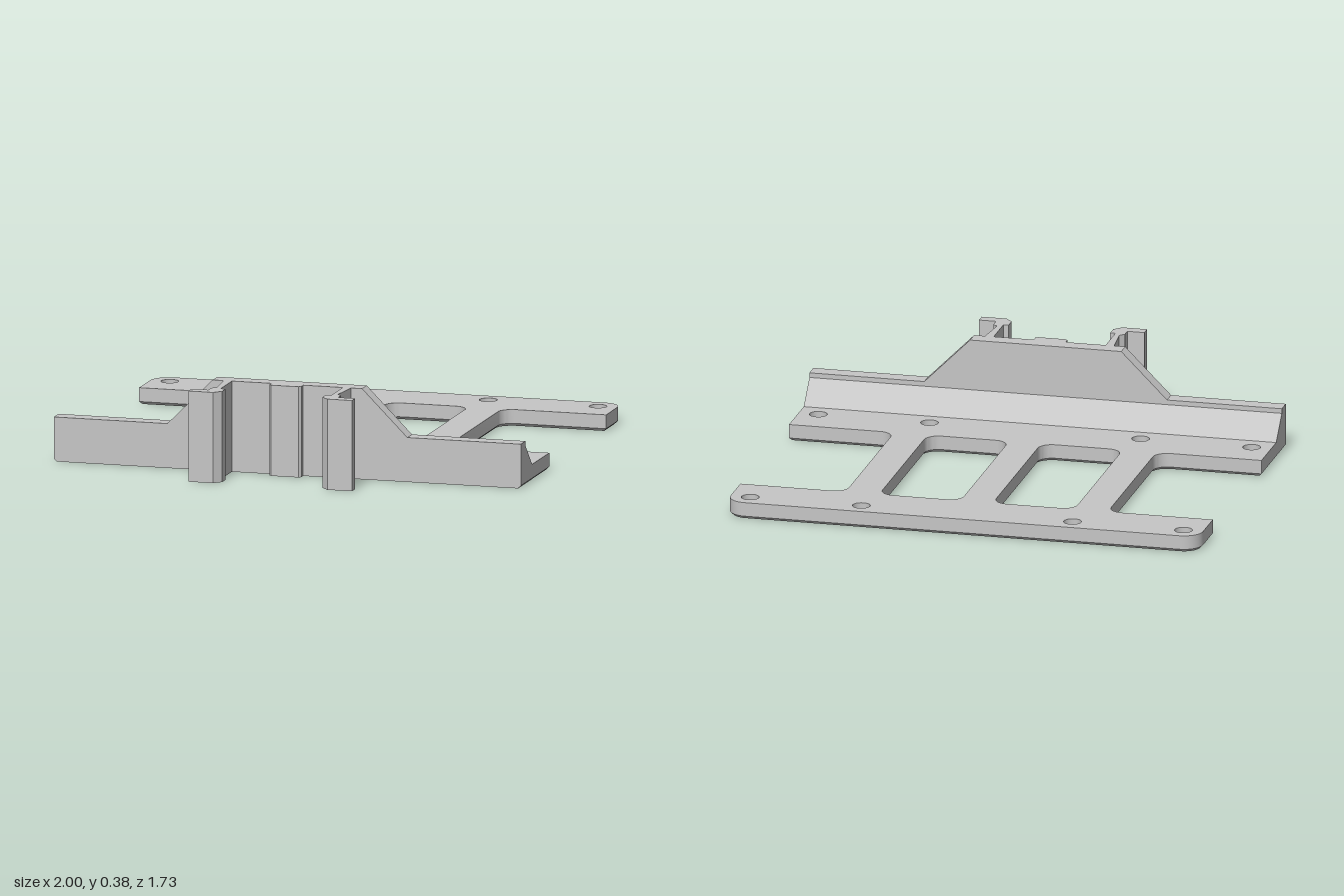
import * as THREE from 'three';
import { toCreasedNormals } from 'three/addons/utils/BufferGeometryUtils.js';

const grey = new THREE.MeshStandardMaterial({ color: 0xc6c6c6 });
grey.name = 'light grey plastic';

// Closed path through [x, z, radius] corners; right-angled corners may be rounded
function trace(path, corners) {
  const n = corners.length;
  const toward = (a, b, d) => {
    const l = Math.hypot(b[0] - a[0], b[1] - a[1]);
    return [a[0] + (b[0] - a[0]) * d / l, a[1] + (b[1] - a[1]) * d / l];
  };
  corners.forEach((c, i) => {
    const r = c[2] || 0;
    const prev = corners[(i + n - 1) % n], next = corners[(i + 1) % n];
    const a = toward(c, prev, r), b = toward(c, next, r);
    if (i === 0) path.moveTo(a[0], -a[1]);
    else path.lineTo(a[0], -a[1]);
    if (r) {
      const p = toward(c, prev, r * 0.4477), q = toward(c, next, r * 0.4477);
      path.bezierCurveTo(p[0], -p[1], q[0], -q[1], b[0], -b[1]);
    }
  });
  path.closePath();
  return path;
}

const mirrorX = (pts) => [...pts, ...pts.map(([x, z, r]) => [-x, z, r]).reverse()];

// Upright prism standing on y = 0 from a plan outline
function prism(corners, height) {
  return new THREE.ExtrudeGeometry(trace(new THREE.Shape(), corners), { depth: height, bevelEnabled: false })
    .rotateX(-Math.PI / 2);
}

function plateGeometry() {
  const thick = 0.07, chamfer = 0.012;
  // Outline runs counter-clockwise, so the holes are wound to match
  const shape = trace(new THREE.Shape(), mirrorX([
    [1, 0.57], [1, 0.203], [0.555, 0.203, 0.06],
    [0.555, -0.62, 0.06], [1, -0.62], [1, -0.865, 0.08],
  ]));
  // Two rounded windows
  for (const s of [-1, 1]) {
    shape.holes.push(trace(new THREE.Path(), [
      [s * 0.068, -0.62, 0.06], [s * 0.413, -0.62, 0.06],
      [s * 0.413, 0.203, 0.06], [s * 0.068, 0.203, 0.06],
    ]));
  }
  // Eight screw holes
  for (const x of [-0.917, -0.447, 0.447, 0.917]) {
    for (const z of [-0.785, 0.368]) {
      shape.holes.push(new THREE.Path().absarc(x, -z, 0.037, 0, Math.PI * 2, true));
    }
  }
  const depth = thick - chamfer;
  const geo = new THREE.ExtrudeGeometry(shape, {
    depth, curveSegments: 10, bevelEnabled: true, bevelSegments: 1,
    bevelThickness: chamfer, bevelSize: chamfer, bevelOffset: -chamfer,
  });
  // Flatten the upper bevel so only the underside is chamfered
  const p = geo.attributes.position;
  for (let i = 0; i < p.count; i++) p.setZ(i, Math.min(p.getZ(i), depth));
  geo.translate(0, 0, chamfer).rotateX(-Math.PI / 2);
  return toCreasedNormals(geo, 0.5);
}

export function createModel() {
  const model = new THREE.Group();
  model.name = 'mountingBracket';
  const add = (name, geo) => {
    const mesh = new THREE.Mesh(geo, grey);
    mesh.name = name;
    model.add(mesh);
  };

  add('basePlate', plateGeometry());

  // Front wall with raised centre and chamfered bottom corners
  const half = [[0.988, 0], [1, 0.012], [1, 0.186], [0.514, 0.186], [0.32, 0.38]];
  const wall = new THREE.Shape(mirrorX(half).map(([x, y]) => new THREE.Vector2(x, y)));
  add('frontWall', new THREE.ExtrudeGeometry(wall, { depth: 0.068, bevelEnabled: false }).translate(0, 0, 0.548));

  // Sloped brace behind the wall, profile in (-z, y)
  const brace = new THREE.Shape([[-0.548, 0.07], [-0.452, 0.07], [-0.548, 0.166]].map((p) => new THREE.Vector2(...p)));
  add('slopedBrace', new THREE.ExtrudeGeometry(brace, { depth: 2, bevelEnabled: false })
    .rotateY(Math.PI / 2).translate(-1, 0, 0));

  // Centre stop pad
  add('centrePad', prism(mirrorX([[0.068, 0.61], [0.068, 0.643], [0.058, 0.653]]), 0.38));

  // Hooked clips
  const clip = [
    [0.237, 0.61], [0.237, 0.781], [0.215, 0.781], [0.215, 0.833], [0.245, 0.865], [0.35, 0.865],
    [0.35, 0.819], [0.278, 0.819], [0.278, 0.776], [0.259, 0.758], [0.274, 0.61],
  ];
  add('leftClip', prism(clip, 0.38));
  add('rightClip', prism(clip.map(([x, z]) => [-x, z]), 0.38));

  return model;
}
